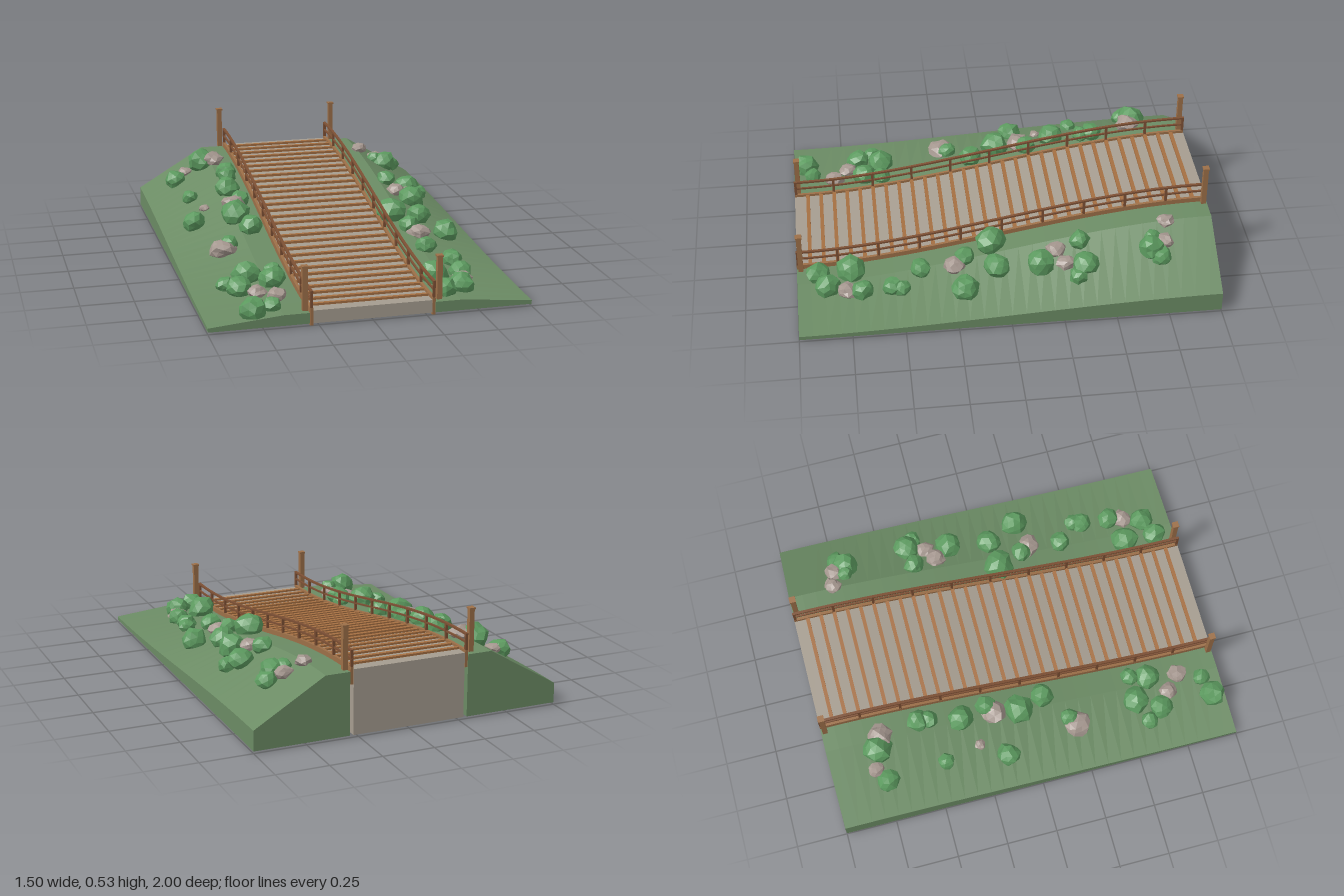
import * as THREE from 'three';

const mat = (name, color, flat = true) => {
  const m = new THREE.MeshStandardMaterial({ color, flatShading: flat });
  m.name = name;
  return m;
};

// Height of the walking surface: a gentle S from the low front to the high back
function pathY(z) {
  const t = (1 - z) / 2;
  return 0.07 + 0.25 * t * t * (3 - 2 * t);
}

// Height of the bank beside the path: level shoulder, then a straight slope
const shoulder = 0.41, outer = 0.75;
const bankTop = (z) => pathY(z) - 0.01;
const bankEdge = (z) => 0.01 + 0.31 * (pathY(z) - 0.01);
function groundY(x, z) {
  const k = Math.max(0, (Math.abs(x) - shoulder) / (outer - shoulder));
  return bankTop(z) + (bankEdge(z) - bankTop(z)) * k;
}

// Sweeps a convex counter-clockwise cross-section from z = 1 to z = -1
function sweep(section, n = 30) {
  const rings = [];
  for (let i = 0; i <= n; i++) {
    const z = 1 - (2 * i) / n;
    rings.push(section(z).map(([x, y]) => [x, y, z]));
  }
  const pos = [];
  const tri = (...p) => p.forEach((v) => pos.push(...v));
  const m = rings[0].length;
  for (let i = 0; i < n; i++) {
    for (let j = 0; j < m; j++) {
      const k = (j + 1) % m, f = rings[i], b = rings[i + 1];
      tri(f[j], b[j], b[k]);
      tri(f[j], b[k], f[k]);
    }
  }
  for (let j = 1; j < m - 1; j++) {
    tri(rings[0][0], rings[0][j], rings[0][j + 1]);
    tri(rings[n][0], rings[n][j + 1], rings[n][j]);
  }
  const g = new THREE.BufferGeometry();
  g.setAttribute('position', new THREE.Float32BufferAttribute(pos, 3));
  g.computeVertexNormals();
  return g;
}

// Rectangular beam that follows the path, between two offsets from its surface
const beam = (x, w, lo, hi) => sweep((z) => {
  const y = pathY(z);
  return [[x - w / 2, y + lo], [x + w / 2, y + lo], [x + w / 2, y + hi], [x - w / 2, y + hi]];
});

// Lumpy faceted ball; corners are moved by a hash of their position
function lump(seed, amount) {
  const g = new THREE.IcosahedronGeometry(1, 1);
  const p = g.attributes.position;
  const v = new THREE.Vector3();
  for (let i = 0; i < p.count; i++) {
    v.fromBufferAttribute(p, i);
    const key = Math.round(v.x * 50) * 12.99 + Math.round(v.y * 50) * 78.23 + Math.round(v.z * 50) * 37.72;
    const h = Math.sin(key + seed * 5.17) * 43758.5453;
    v.multiplyScalar(1 + amount * ((h - Math.floor(h)) * 2 - 1));
    p.setXYZ(i, v.x, v.y, v.z);
  }
  g.computeVertexNormals();
  return g;
}

// Planting: x, z, radius
const bushSpots = [
  [-0.6, -0.74, 0.055], [-0.456, -0.755, 0.07], [-0.366, -0.535, 0.052], [-0.37, -0.48, 0.045],
  [-0.573, -0.445, 0.04], [-0.4, -0.33, 0.062], [-0.36, -0.195, 0.05], [-0.605, -0.14, 0.057],
  [-0.414, -0.04, 0.07], [-0.366, 0.09, 0.057], [-0.493, 0.2, 0.045], [-0.483, 0.55, 0.067],
  [-0.36, 0.55, 0.045], [-0.594, 0.59, 0.042], [-0.546, 0.665, 0.057], [-0.38, 0.635, 0.06],
  [-0.536, 0.935, 0.062], [-0.44, 0.905, 0.042],
];
const bushSpotsLeft = [
  [0.578, -0.73, 0.05], [0.536, -0.69, 0.062], [0.485, -0.7, 0.038], [0.45, -0.355, 0.05],
  [0.567, -0.37, 0.062], [0.615, -0.33, 0.045], [0.53, -0.16, 0.065], [0.355, 0.065, 0.072],
  [0.504, 0.05, 0.062], [0.594, 0.205, 0.065], [0.41, 0.195, 0.05], [0.43, 0.41, 0.05],
  [0.53, 0.505, 0.042], [0.515, 0.545, 0.05], [0.366, 0.74, 0.07], [0.51, 0.69, 0.052],
  [0.46, 0.855, 0.06], [0.366, 0.9, 0.055],
];
const rockSpots = [
  [-0.54, -0.785, 0.038], [-0.4, -0.73, 0.058], [-0.53, -0.265, 0.026], [-0.4, -0.16, 0.06],
  [-0.535, 0.23, 0.065], [-0.472, 0.72, 0.045], [-0.393, 0.79, 0.047], [0.42, -0.775, 0.042],
  [0.505, -0.755, 0.045], [0.467, -0.24, 0.048], [0.54, -0.275, 0.045], [0.445, 0.245, 0.055],
  [0.493, 0.76, 0.05],
];

export function createModel() {
  const model = new THREE.Group();
  const grass = mat('grass', 0x6b8b64);
  const paving = mat('path stone', 0xa59c8f);
  const leaf = mat('bush green', 0x5c9a5f);
  const rock = mat('rock', 0xa5978f);
  const wood = mat('post wood', 0x9c6f48);
  const tread = mat('tread wood', 0xa56f42);
  const dark = mat('rail wood', 0x7d5034);

  const add = (name, geo, material, x = 0, y = 0, z = 0, parent = model) => {
    const mesh = new THREE.Mesh(geo, material);
    mesh.name = name;
    mesh.position.set(x, y, z);
    parent.add(mesh);
    return mesh;
  };

  // Sloping path with cross treads
  add('path', sweep((z) => [[-0.275, 0.01], [0.275, 0.01], [0.275, pathY(z)], [-0.275, pathY(z)]]), paving);
  const treadGeo = new THREE.BoxGeometry(0.55, 0.014, 0.018);
  for (let i = 1; i < 30; i++) {
    const z = -1 + i / 15;
    add('tread', treadGeo, tread, 0, pathY(z) + 0.003, z);
  }

  const postGeo = new THREE.BoxGeometry(0.024, 0.2, 0.024);
  const capGeo = new THREE.BoxGeometry(0.031, 0.008, 0.031);
  const balusterGeo = new THREE.BoxGeometry(0.012, 0.09, 0.012);
  for (const s of [1, -1]) {
    const side = s > 0 ? 'left' : 'right';

    // Grass bank
    add(side + 'Bank', sweep((z) => {
      const pts = [[0.292, 0.01], [outer, 0.01], [outer, bankEdge(z)], [shoulder, bankTop(z)], [0.292, bankTop(z)]];
      return s > 0 ? pts : pts.map(([x, y]) => [-x, y]).reverse();
    }), grass);

    // Edge board and two rails
    add(side + 'EdgeBoard', beam(s * 0.283, 0.014, -0.07, 0.012), wood);
    add(side + 'MiddleRail', beam(s * 0.283, 0.009, 0.044, 0.052), dark);
    add(side + 'TopRail', beam(s * 0.283, 0.013, 0.082, 0.091), dark);

    // Small rail posts
    for (let i = 0; i <= 10; i++) {
      const z = Math.max(-0.993, Math.min(0.993, -1 + i * 0.2));
      add('railPost', balusterGeo, dark, s * 0.283, pathY(z) + 0.042, z);
    }

    // Tall capped posts at both ends
    for (const z of [0.98, -0.98]) {
      const y = pathY(z);
      add('endPost', postGeo, wood, s * 0.311, y + 0.098, z);
      add('endPostCap', capGeo, wood, s * 0.311, y + 0.202, z);
    }
  }

  // Bushes and rocks half sunk into the banks
  const scatter = (name, spots, material, amount, squash, lift) => spots.forEach(([x, z, r], i) => {
    const m = add(name, lump(i + 1, amount), material, x, groundY(x, z) + r * lift, z);
    m.scale.set(r, r * squash, r);
    m.rotation.y = i * 1.7;
  });
  scatter('bush', [...bushSpots, ...bushSpotsLeft], leaf, 0.13, 0.9, 0.42);
  scatter('rock', rockSpots, rock, 0.17, 0.65, 0.3);

  return model;
}
